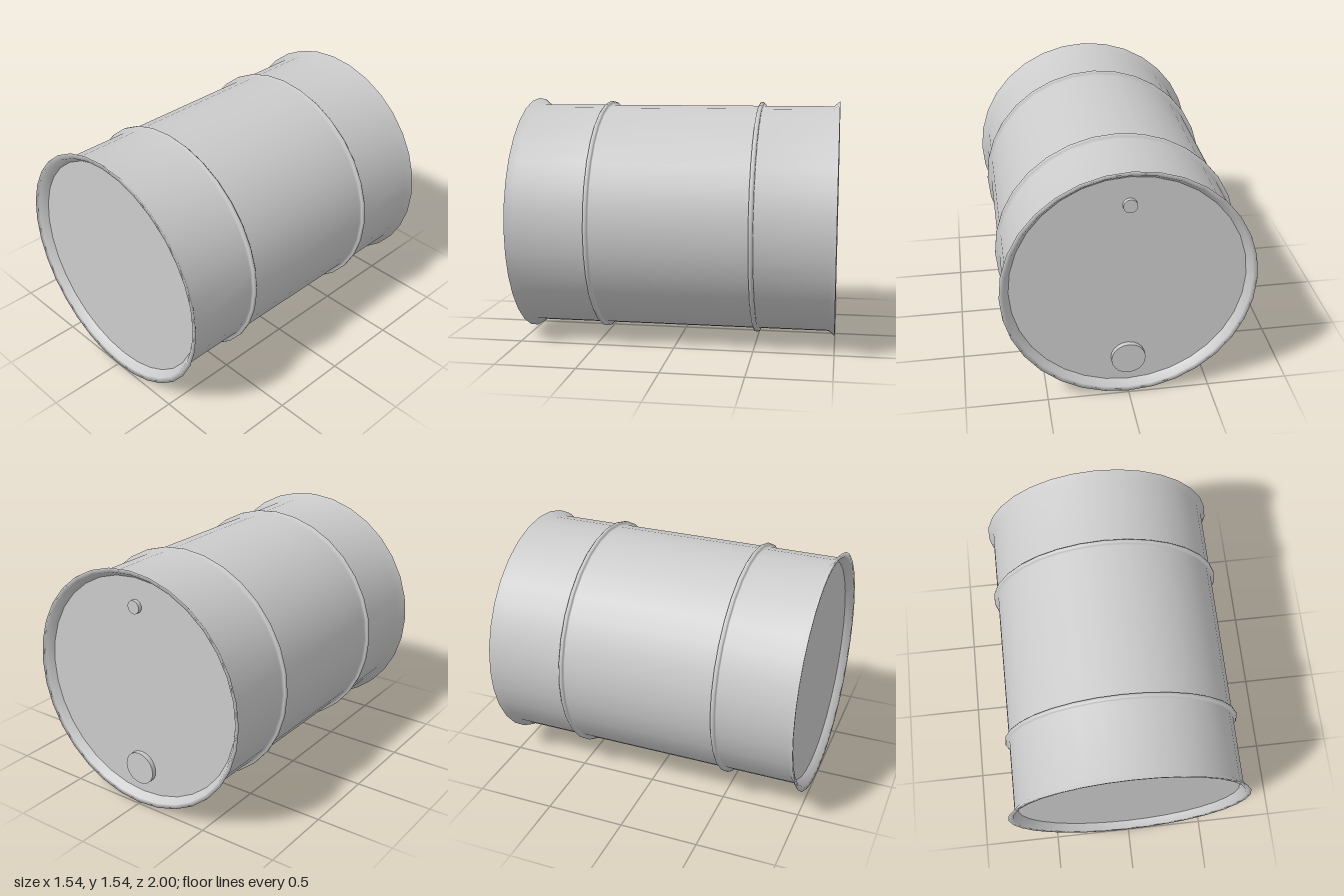
import * as THREE from 'three';

const SIDES = 32;
const AXIS_Y = 0.773;
const BODY_R = 0.73;

export function createModel() {
  const drum = new THREE.Group();
  drum.name = 'drum';
  const material = new THREE.MeshStandardMaterial({ color: 0xcccccc });

  function add(name, geometry, x = 0, y = 0, z = 0) {
    const mesh = new THREE.Mesh(geometry, material);
    mesh.name = name;
    mesh.position.set(x, AXIS_Y + y, z);
    drum.add(mesh);
  }

  // Small raised hoop rolled into the wall at position z
  const hoop = (z) => [
    [BODY_R, z - 0.016], [0.748, z - 0.014], [0.755, z - 0.006],
    [0.755, z + 0.006], [0.748, z + 0.014], [BODY_R, z + 0.016],
  ];

  // Shell: flared rims, straight wall and two hoops, turned in one profile
  const profile = [
    [0.705, -0.95], [0.735, -0.995], [0.762, -1], [BODY_R, -0.96],
    ...hoop(-0.5), ...hoop(0.5),
    [BODY_R, 0.96], [0.772, 1], [0.738, 0.995], [0.705, 0.95],
  ].map(([r, z]) => new THREE.Vector2(r, z));
  add('shell', new THREE.LatheGeometry(profile, SIDES).rotateX(Math.PI / 2));

  // Recessed flat ends
  add('frontEnd', new THREE.CircleGeometry(0.705, SIDES), 0, 0, 0.95);
  add('backEnd', new THREE.CircleGeometry(0.705, SIDES).rotateY(Math.PI), 0, 0, -0.95);

  // Filler caps on the back end
  const cap = (r) => new THREE.CylinderGeometry(r, r, 0.04, 20).rotateX(Math.PI / 2);
  add('smallCap', cap(0.042), 0, 0.53, -0.955);
  add('largeCap', cap(0.105), 0, -0.53, -0.96);

  return drum;
}
